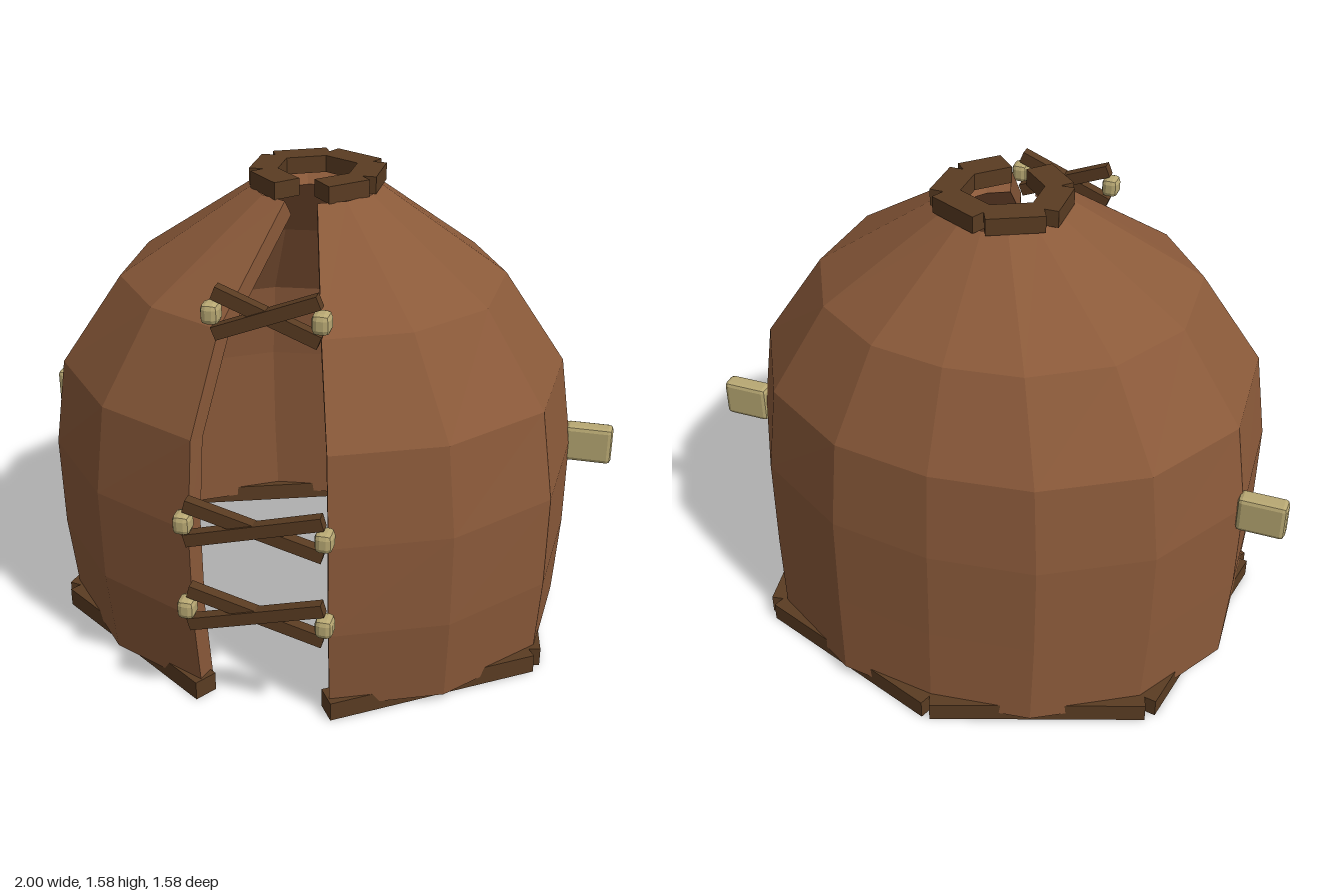
import * as THREE from 'three';
import { RoundedBoxGeometry } from 'three/addons/geometries/RoundedBoxGeometry.js';

function material(name, color) {
  const m = new THREE.MeshStandardMaterial({ color, flatShading: true });
  m.name = name;
  return m;
}

// Hide wall: thick cross-section swept around the plan, leaving a front slit
function wallGeometry() {
  // y, x radius, z radius, z centre, inward offset, downward offset
  const rows = [
    [0.03, 0.85, 0.72, -0.02, 0.07, 0],
    [0.33, 0.868, 0.736, 0.006, 0.07, 0],
    [0.65, 0.87, 0.736, 0.014, 0.07, 0],
    [0.95, 0.825, 0.71, 0.015, 0.066, 0.02],
    [1.25, 0.62, 0.565, 0.01, 0.052, 0.045],
    [1.53, 0.205, 0.205, -0.025, 0.04, 0.055],
  ];
  // plan directions from the left slit edge to the middle of the back
  const half = [[0.25, 0.956], [0.655, 0.75], [0.955, 0.345], [0.985, -0.225], [0.76, -0.68], [0.39, -0.94], [0, -1]];
  const plan = [...half, ...half.slice(0, -1).reverse().map(([x, z]) => [-x, z])];
  const columns = plan.map(([x, z]) => {
    const outer = rows.map(([y, rx, rz, zc]) => [x * rx, y, z * rz + zc]);
    const inner = rows.map(([y, rx, rz, zc, t, dy]) => [x * (rx - t), y - dy, z * (rz - t) + zc]);
    return [...outer, ...inner.reverse()];
  });

  const positions = [];
  const quad = (a, b, c, d) => [a, b, c, a, c, d].forEach((p) => positions.push(...p));
  const n = rows.length * 2;
  for (let i = 0; i < columns.length - 1; i++) {
    const p = columns[i], q = columns[i + 1];
    for (let j = 0; j < n; j++) {
      const k = (j + 1) % n;
      quad(p[j], q[j], q[k], p[k]);
    }
  }
  // the two cut edges of the slit
  const first = columns[0], last = columns[columns.length - 1];
  for (let j = 0; j < rows.length - 1; j++) {
    quad(first[j], first[j + 1], first[n - 2 - j], first[n - 1 - j]);
    quad(last[j], last[n - 1 - j], last[n - 2 - j], last[j + 1]);
  }
  const geometry = new THREE.BufferGeometry();
  geometry.setAttribute('position', new THREE.Float32BufferAttribute(positions, 3));
  geometry.computeVertexNormals();
  return geometry;
}

// Ring of straight beams between mirrored plan points
function beamRing(name, half, y, height, thickness, mat) {
  const group = new THREE.Group();
  group.name = name;
  const points = [...half, ...half.slice(0, -1).reverse().map(([x, z]) => [-x, z])];
  for (let i = 0; i < points.length - 1; i++) {
    const [x0, z0] = points[i], [x1, z1] = points[i + 1];
    const beam = new THREE.Mesh(new THREE.BoxGeometry(Math.hypot(x1 - x0, z1 - z0), height, thickness), mat);
    beam.position.set((x0 + x1) / 2, y, (z0 + z1) / 2);
    beam.rotation.y = -Math.atan2(z1 - z0, x1 - x0);
    beam.name = name + 'Beam';
    group.add(beam);
  }
  return group;
}

// Chamfered bone block
function boneBlock(name, w, h, d, bevel, mat) {
  const mesh = new THREE.Mesh(new RoundedBoxGeometry(w, h, d, 1, bevel), mat);
  mesh.name = name;
  return mesh;
}

// Crossed lacing with a bone toggle at each side
function lacing(y, z, halfWidth, length, angle, strapMat, boneMat) {
  const group = new THREE.Group();
  group.name = 'lacing';
  for (const s of [-1, 1]) {
    const strap = new THREE.Mesh(new THREE.BoxGeometry(length, 0.042, 0.036), strapMat);
    strap.rotation.z = s * angle;
    strap.position.z = s * 0.003;
    strap.name = 'strap';
    const toggle = boneBlock('toggle', 0.056, 0.066, 0.064, 0.018, boneMat);
    toggle.position.set(s * halfWidth, 0, 0.006);
    group.add(strap, toggle);
  }
  group.position.set(0, y, z);
  return group;
}

export function createModel() {
  const hide = material('brown hide', 0x8b5a3a);
  const wood = material('dark wood', 0x5a3c22);
  const bone = material('pale bone', 0xb8a873);

  const model = new THREE.Group();
  model.name = 'hideHut';

  const wall = new THREE.Mesh(wallGeometry(), hide);
  wall.name = 'wall';
  model.add(wall);

  model.add(beamRing('base', [[0.2, 0.665], [0.8, 0.26], [0.665, -0.51], [0, -0.75]], 0.0325, 0.065, 0.08, wood));
  model.add(beamRing('smokeHole', [[0.055, 0.13], [0.16, 0.03], [0.162, -0.13], [0, -0.21]], 1.555, 0.055, 0.09, wood));

  // y, z, toggle offset, strap length, strap angle
  for (const [y, z, w, length, angle] of [
    [0.405, 0.75, 0.217, 0.44, 0.27],
    [0.71, 0.755, 0.217, 0.44, 0.27],
    [1.318, 0.576, 0.165, 0.34, 0.38],
  ]) model.add(lacing(y, z, w, length, angle, wood, bone));

  // side pegs
  for (const s of [-1, 1]) {
    const peg = boneBlock('sidePeg', 0.16, 0.13, 0.062, 0.015, bone);
    peg.position.set(s * 0.92, 0.645, -0.16);
    model.add(peg);
  }
  return model;
}
